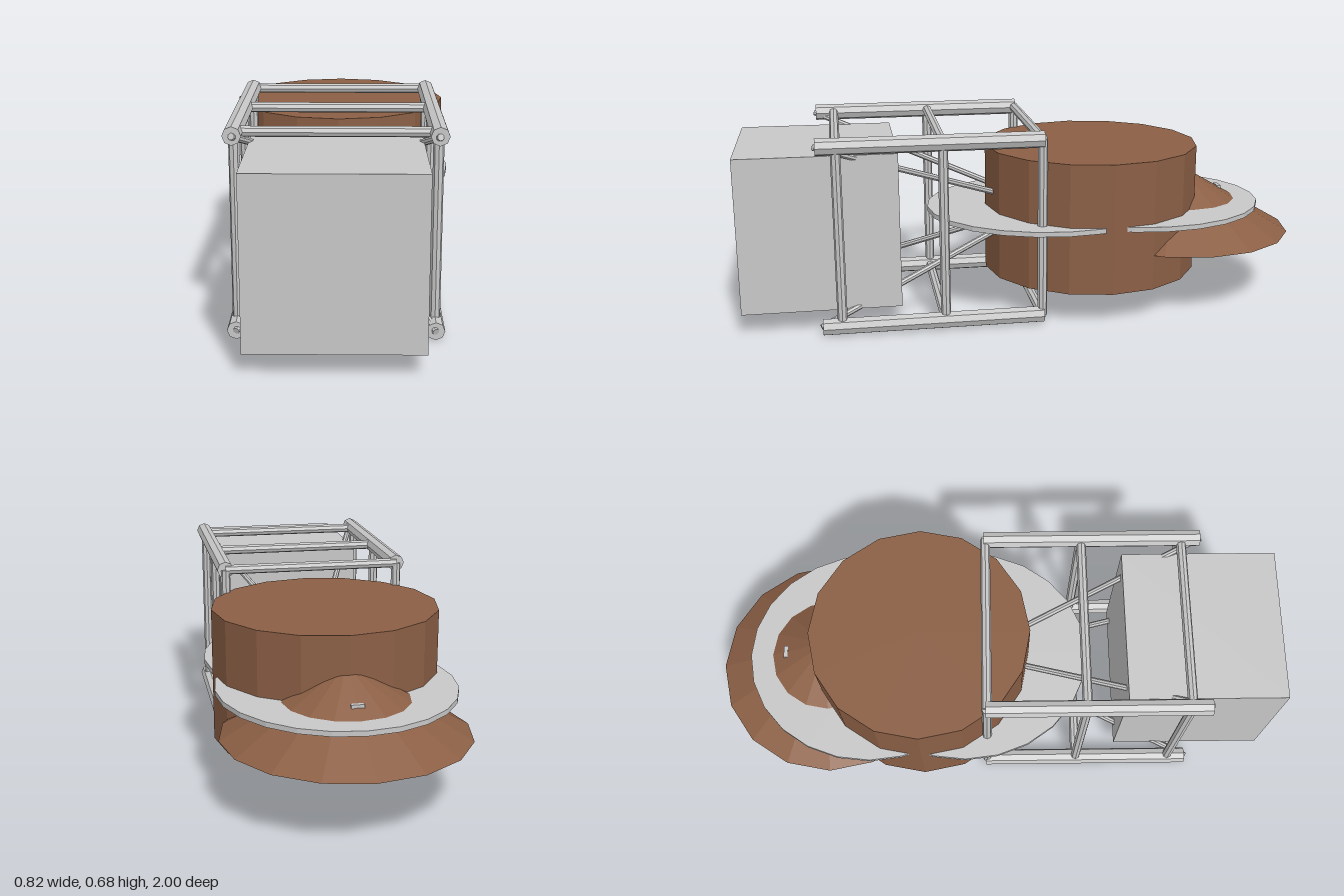
import * as THREE from 'three';

export function createModel() {
  const model = new THREE.Group();
  const mat = (name, color) => {
    const m = new THREE.MeshStandardMaterial({ color, flatShading: true });
    m.name = name;
    return m;
  };
  const grey = mat('light grey metal', 0xc8c8c8);
  const brown = mat('brown', 0x8b5f45);

  const add = (name, geometry, material, x = 0, y = 0, z = 0) => {
    const mesh = new THREE.Mesh(geometry, material);
    mesh.name = name;
    mesh.position.set(x, y, z);
    model.add(mesh);
    return mesh;
  };

  // Round bar between two points
  const up = new THREE.Vector3(0, 1, 0);
  const bar = (name, from, to, radius) => {
    const a = new THREE.Vector3(...from), b = new THREE.Vector3(...to);
    const dir = b.clone().sub(a);
    const mesh = add(name, new THREE.CylinderGeometry(radius, radius, dir.length(), 8), grey);
    mesh.position.copy(a).add(b).multiplyScalar(0.5);
    mesh.quaternion.setFromUnitVectors(up, dir.normalize());
  };

  // Front block
  add('frontBlock', new THREE.BoxGeometry(0.536, 0.536, 0.54), grey, 0, 0.342, 0.73);

  // Four long rails, each with a brace running to the middle of the drum
  const X = 0.31, LOW = 0.03, HIGH = 0.65;
  for (const x of [-X, X]) {
    for (const y of [LOW, HIGH]) {
      bar('rail', [x, y, -0.025], [x, y, 0.73], 0.029);
      bar('brace', [x, y, 0.735], [0, 0.34, -0.08], 0.011);
    }
  }

  // Three square frames joining the rails
  for (const z of [-0.02, 0.315, 0.665]) {
    for (const y of [LOW, HIGH]) bar('crossBar', [-X, y, z], [X, y, z], 0.017);
    for (const x of [-X, X]) bar('post', [x, LOW, z], [x, HIGH, z], 0.017);
  }

  // Drum
  add('drum', new THREE.CylinderGeometry(0.387, 0.387, 0.457, 16), brown, 0, 0.3415, -0.253);

  // Two thin overlapping discs, slightly longer than wide
  for (const z of [-0.098, -0.437]) {
    const disc = new THREE.CylinderGeometry(0.4, 0.4, 0.017, 24);
    disc.scale(1, 1, 1.108);
    add('disc', disc, grey, 0, 0.3415, z);
  }

  // Rear cone and the small tip showing on its slope
  add('rearCone', new THREE.ConeGeometry(0.408, 0.235, 16), brown, 0, 0.3525, -0.592);
  add('coneTip', new THREE.BoxGeometry(0.042, 0.016, 0.014), grey, 0, 0.378, -0.748);

  return model;
}
